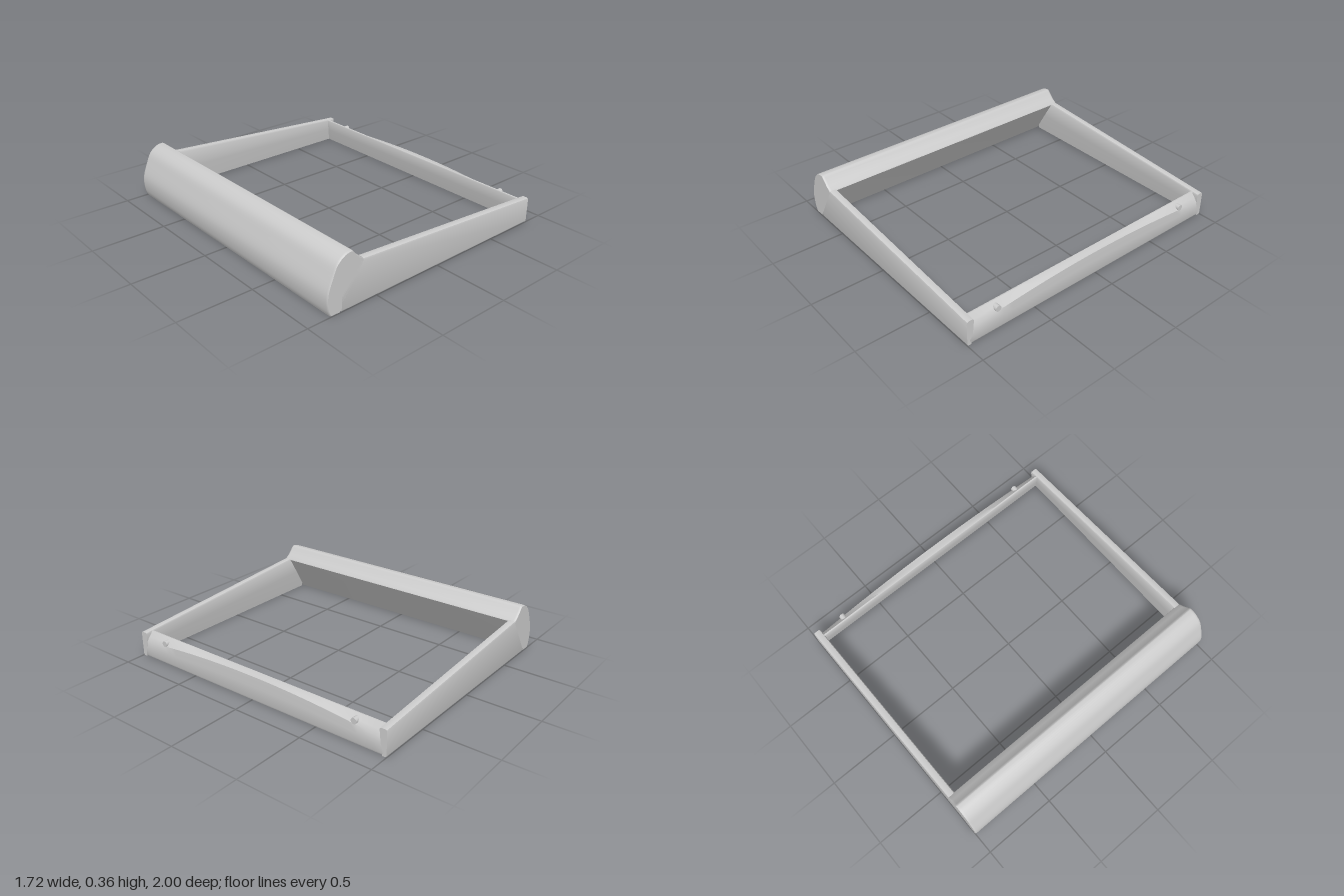
import * as THREE from 'three';
import { toCreasedNormals } from 'three/addons/utils/BufferGeometryUtils.js';

const grey = new THREE.MeshStandardMaterial({ color: 0xcccccc });

// Skins a list of rings (arrays of [x, y, z]) and closes both ends.
function loft(rings) {
  const n = rings[0].length;
  const last = rings.length - 1;
  const pos = rings.flat(2);
  const index = [];
  for (let i = 0; i < last; i++) {
    for (let j = 0; j < n; j++) {
      const k = (j + 1) % n;
      const a = i * n + j, b = i * n + k;
      index.push(a, b, b + n, a, b + n, a + n);
    }
  }
  for (const end of [0, last]) {
    const c = pos.length / 3;
    for (let d = 0; d < 3; d++) pos.push(rings[end].reduce((s, p) => s + p[d], 0) / n);
    for (let j = 0; j < n; j++) {
      const a = end * n + j, b = end * n + (j + 1) % n;
      if (end) index.push(c, a, b);
      else index.push(c, b, a);
    }
  }
  const geometry = new THREE.BufferGeometry();
  geometry.setAttribute('position', new THREE.Float32BufferAttribute(pos, 3));
  geometry.setIndex(index);
  return toCreasedNormals(geometry, 0.65);
}

function add(group, name, geometry) {
  const mesh = new THREE.Mesh(geometry, grey);
  mesh.name = name;
  group.add(mesh);
  return mesh;
}

export function createModel() {
  const group = new THREE.Group();
  group.name = 'frame';

  // Tall rail: rounded outer back, raised lip and sloping inner face
  const back = new THREE.SplineCurve([
    [-0.69, 0.36], [-0.735, 0.353], [-0.79, 0.312], [-0.825, 0.24],
    [-0.855, 0.16], [-0.862, 0.1], [-0.855, 0.04], [-0.842, 0.004],
  ].map(p => new THREE.Vector2(...p))).getPoints(28).map(p => [p.x, p.y]);
  const profile = [
    [-0.835, 0], [-0.775, 0], [-0.6, 0.272], [-0.605, 0.281],
    [-0.635, 0.302], [-0.675, 0.346], [-0.681, 0.354], ...back,
  ];
  const tallSection = (z, s) => profile.map(([x, y]) =>
    [-0.74 + (x + 0.74) * s, 0.17 + (y - 0.17) * s, z]);
  add(group, 'tallRail', loft([
    tallSection(-1, 0.97), tallSection(-0.996, 0.99), tallSection(-0.985, 1),
    tallSection(0.985, 1), tallSection(0.996, 0.99), tallSection(1, 0.97),
  ]));

  // Side rails: thin walls falling towards the low end
  const sideSection = x => {
    const h = 0.28 - (x + 0.6) * 0.0719;
    return [
      [0.99, 0], [0.972, 0], [0.958, h * 0.5], [0.95, h - 0.012], [0.955, h - 0.002],
      [0.965, h], [0.988, h], [0.997, h - 0.004], [1, h - 0.014], [1, 0.012], [0.997, 0.003],
    ].map(([z, y]) => [x, y, z]);
  };
  const sideRail = loft([sideSection(-0.76), sideSection(0.862)]);
  add(group, 'frontSideRail', sideRail);
  add(group, 'backSideRail', sideRail).scale.z = -1;

  // Low rail: its outer bevel deepens from the middle to the ends
  const lowRings = [];
  for (let i = 0; i <= 32; i++) {
    const z = -0.98 + 1.96 * i / 32;
    const h = 0.168 - 0.06 * Math.min(1, (z / 0.95) ** 2);
    lowRings.push([
      [0.83, 0], [0.848, 0], [0.857, 0.004], [0.862, 0.016], [0.862, h * 0.6],
      [0.858, h], [0.838, h * 0.5 + 0.086], [0.812, 0.176], [0.803, 0.175], [0.8, 0.168],
      [0.81, 0.09],
    ].map(([x, y]) => [x, y, z]));
  }
  add(group, 'lowRail', loft(lowRings));

  // Small pegs in the bevel
  const peg = new THREE.CylinderGeometry(0.02, 0.02, 0.045, 16).rotateZ(Math.PI / 2);
  for (const side of [1, -1]) {
    add(group, side > 0 ? 'frontPeg' : 'backPeg', peg).position.set(0.838, 0.145, side * 0.775);
  }
  return group;
}
